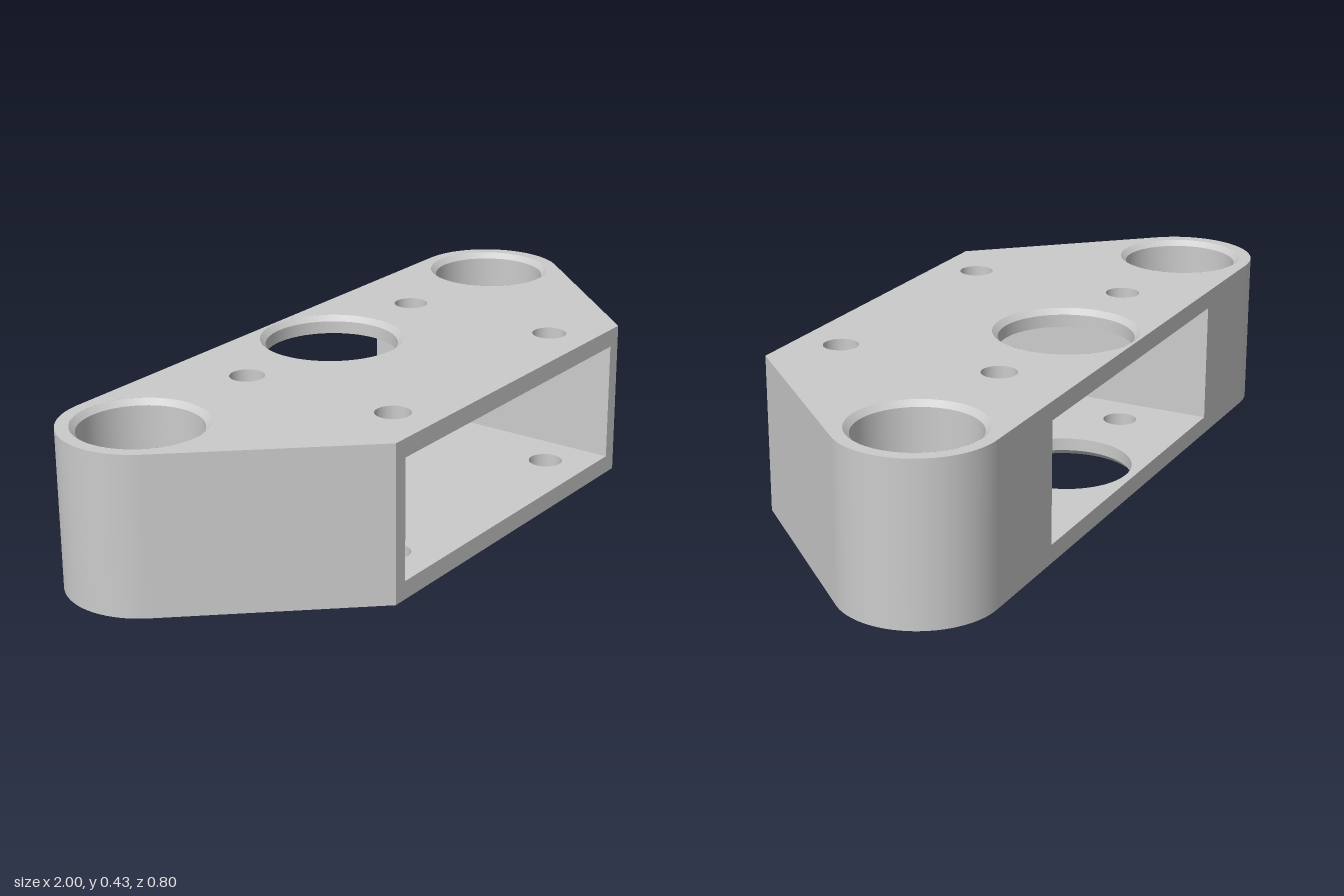
import * as THREE from 'three';

const H = 0.43, D = 0.4;                       // height, half depth
const FRONT_X = 0.54;                          // half width of the front face
const END = { x: 0.79, z: -0.19, r: 0.21 };    // rounded ends
const WIN = { x: 0.5, y0: 0.05, y1: 0.38 };    // window running front to back
const CHAMFER = 0.015, SEG = 64;
const END_BORE = 0.16, MID_BORE = 0.182, MID_Z = -0.195, BOLT = 0.047;
const BOLTS = [-0.375, 0.375].flatMap(x => [[x, -0.19], [x, 0.275]]);

// Side outline as [x, z], from the front corner round the end to the back face
function sidePath() {
  const dx = FRONT_X - END.x, dz = D - END.z;
  const start = Math.atan2(dz, dx) - Math.acos(END.r / Math.hypot(dx, dz));
  const path = [[FRONT_X, D]];
  for (let i = 0; i <= 32; i++) {
    const a = THREE.MathUtils.lerp(start, -Math.PI / 2, i / 32);
    path.push([END.x + END.r * Math.cos(a), END.z + END.r * Math.sin(a)]);
  }
  return path;
}

// Upright strip following a path
function wall(path) {
  const n = path.length;
  const g = new THREE.PlaneGeometry(1, 1, n - 1, 1), p = g.attributes.position;
  for (let i = 0; i < p.count; i++) {
    const [x, z] = path[i % n];
    p.setXYZ(i, x, i < n ? H : 0, z);
  }
  g.computeVertexNormals();
  return g;
}

// Flat horizontal face with round holes [x, z, radius], facing up or down
function flatFace(outline, holes, y, up) {
  const s = up ? -1 : 1;
  const shape = new THREE.Shape(outline.map(([x, z]) => new THREE.Vector2(x, s * z)));
  for (const [x, z, r] of holes)
    shape.holes.push(new THREE.Path().absarc(x, s * z, r, 0, Math.PI * 2, true));
  return new THREE.ShapeGeometry(shape, SEG).rotateX(s * Math.PI / 2).translate(0, y, 0);
}

// Upright frame around the window
function frame(halfWidth) {
  const rect = (T, w, y0, y1) => new T([[-w, y0], [w, y0], [w, y1], [-w, y1]]
    .map(([x, y]) => new THREE.Vector2(x, y)));
  const shape = rect(THREE.Shape, halfWidth, 0, H);
  shape.holes.push(rect(THREE.Path, WIN.x, WIN.y0, WIN.y1));
  return new THREE.ShapeGeometry(shape);
}

export function createModel() {
  const model = new THREE.Group();
  model.name = 'clampBlock';
  const material = new THREE.MeshStandardMaterial({ color: 0xcccccc, side: THREE.DoubleSide });
  const add = (name, geometry) => {
    const mesh = new THREE.Mesh(geometry, material);
    mesh.name = name;
    model.add(mesh);
  };
  // Inward facing bore; each band of the profile [radius, y] keeps sharp edges
  const bore = (name, x, z, profile) => {
    for (let i = 0; i < profile.length - 1; i++) {
      const pts = [profile[i], profile[i + 1]].map(([r, y]) => new THREE.Vector2(r, y));
      add(name, new THREE.LatheGeometry(pts, SEG).translate(x, 0, z));
    }
  };

  // Outer sides
  const right = sidePath();
  const left = right.map(([x, z]) => [-x, z]).reverse();
  add('leftSide', wall(right));
  add('rightSide', wall(left));

  // Front and back frames
  add('frontFrame', frame(FRONT_X).translate(0, 0, D));
  add('backFrame', frame(END.x).rotateY(Math.PI).translate(0, 0, -D));

  // Top and bottom faces
  const bolts = BOLTS.map(([x, z]) => [x, z, BOLT]);
  const outerHoles = [...bolts, [0, MID_Z, MID_BORE + CHAMFER],
    ...[-1, 1].map(s => [s * END.x, END.z, END_BORE + CHAMFER])];
  add('topFace', flatFace([...right, ...left], outerHoles, H, true));
  add('bottomFace', flatFace([...right, ...left], outerHoles, 0, false));

  // Window lining
  const lining = [[-WIN.x, -D], [WIN.x, -D], [WIN.x, D], [-WIN.x, D]];
  const innerHoles = [...bolts, [0, MID_Z, MID_BORE]];
  add('windowFloor', flatFace(lining, innerHoles, WIN.y0, true));
  add('windowCeiling', flatFace(lining, innerHoles, WIN.y1, false));
  for (const s of [-1, 1])
    add('windowCheek', new THREE.PlaneGeometry(2 * D, WIN.y1 - WIN.y0)
      .rotateY(-s * Math.PI / 2).translate(s * WIN.x, (WIN.y0 + WIN.y1) / 2, 0));

  // Chamfered end bores through the full height
  for (const s of [-1, 1])
    bore('endBore', s * END.x, END.z, [[END_BORE + CHAMFER, H], [END_BORE, H - CHAMFER],
      [END_BORE, CHAMFER], [END_BORE + CHAMFER, 0]]);

  // Middle bore and bolt holes through the upper and lower plates
  bore('middleBore', 0, MID_Z, [[MID_BORE + CHAMFER, H], [MID_BORE, H - CHAMFER], [MID_BORE, WIN.y1]]);
  bore('middleBore', 0, MID_Z, [[MID_BORE, WIN.y0], [MID_BORE, CHAMFER], [MID_BORE + CHAMFER, 0]]);
  for (const [x, z] of BOLTS) {
    bore('boltHole', x, z, [[BOLT, H], [BOLT, WIN.y1]]);
    bore('boltHole', x, z, [[BOLT, WIN.y0], [BOLT, 0]]);
  }
  return model;
}
